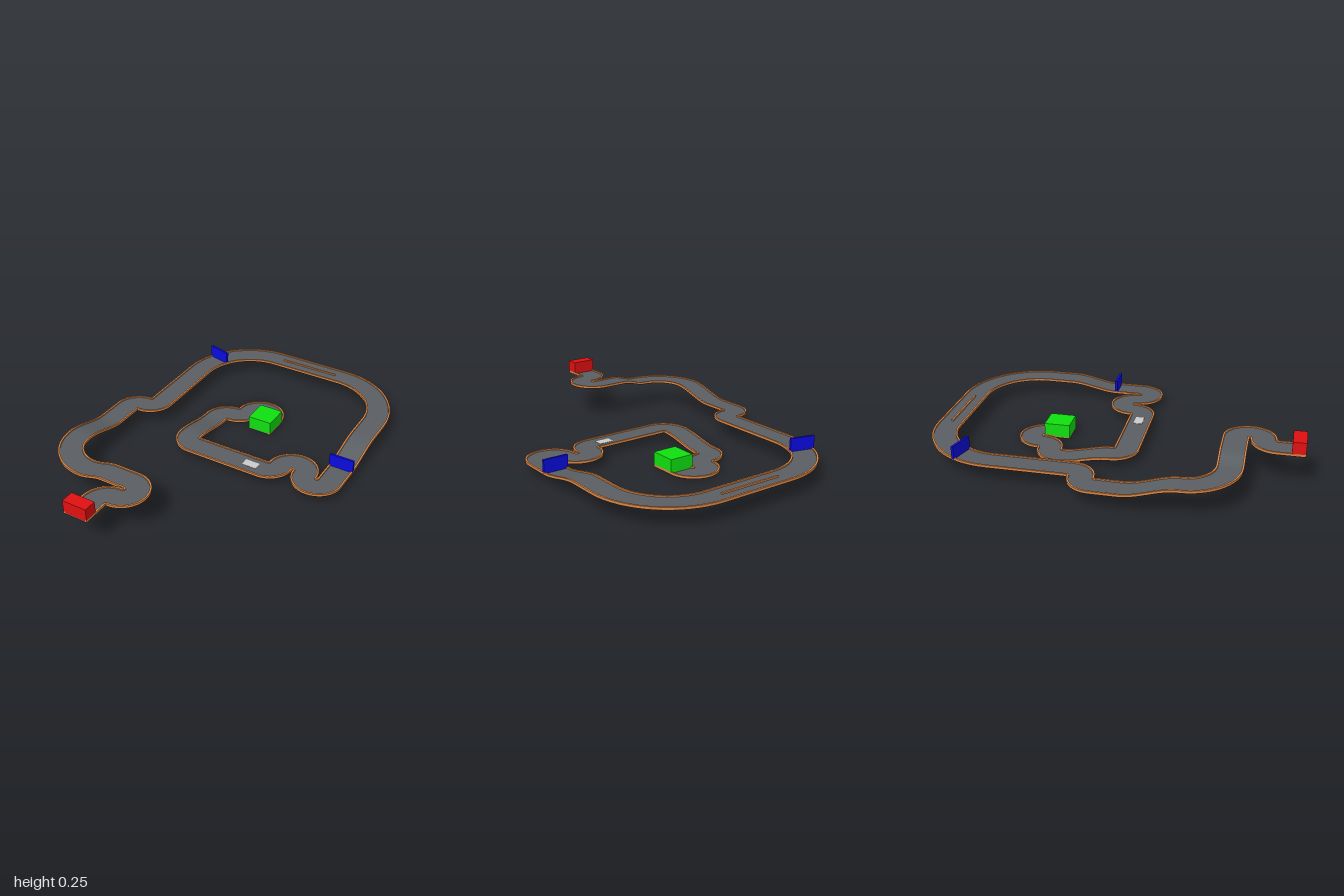
import * as THREE from 'three';

const U = 1 / 7;          // layout unit of the track
const HALF = 0.0685;      // half width of the track
const RAIL = 0.01;

// Track layout: S = straight [length, height at its end], R / L = turn [radius, degrees]
const LAYOUT = [
  ['S', 1], ['R', 0.5, 90], ['L', 0.5, 180], ['S', 1], ['S', 1, 0.146],
  ['R', 1.5, 90], ['S', 2, 0.088], ['S', 1], ['R', 0.5, 90], ['L', 0.5, 90],
  ['S', 3], ['R', 2.5, 90], ['S', 3], ['R', 2.5, 90], ['S', 1], ['S', 2, 0.044], ['S', 1],
  ['R', 0.5, 180], ['L', 0.5, 180], ['R', 0.5, 90], ['S', 3], ['R', 0.5, 90],
  ['S', 2, 0], ['R', 0.5, 90], ['L', 0.5, 90], ['R', 0.5, 180], ['S', 1],
];

// Walk the layout into stations: position, height and right-hand direction
function walkTrack() {
  let x = -1.5, z = 7, dx = 0, dz = -1, h = 0.174;
  const stations = [{ x: x * U, z: z * U, y: h, rx: 1, rz: 0 }];
  const add = (px, pz, y, ex, ez) => stations.push({ x: px * U, z: pz * U, y, rx: -ez, rz: ex });
  for (const [kind, size, extra] of LAYOUT) {
    if (kind === 'S') {
      const end = extra ?? h;
      const n = end === h ? 1 : 14;
      for (let i = 1; i <= n; i++) {
        const t = i / n;
        add(x + dx * size * t, z + dz * size * t, h + (end - h) * t * t * (3 - 2 * t), dx, dz);
      }
      x += dx * size; z += dz * size; h = end;
    } else {
      const side = kind === 'R' ? 1 : -1;
      const n = Math.round(extra / 6);
      const sx = -dz * side, sz = dx * side;      // towards the centre of the turn
      const cx = x + sx * size, cz = z + sz * size;
      let ex, ez;
      for (let i = 1; i <= n; i++) {
        const a = THREE.MathUtils.degToRad(extra * i / n);
        ex = dx * Math.cos(a) + sx * Math.sin(a);
        ez = dz * Math.cos(a) + sz * Math.sin(a);
        add(cx + ez * side * size, cz - ex * side * size, h, ex, ez);
      }
      x = cx + ez * side * size; z = cz - ex * side * size; dx = ex; dz = ez;
    }
  }
  return stations;
}

// Sweep a rectangle (across u0..u1, up y0..y1) along the stations
function sweep(stations, u0, u1, y0, y1) {
  const corners = [[u0, y1], [u1, y1], [u1, y0], [u0, y0]];
  const pos = [], idx = [];
  const put = (s, [u, y]) => pos.push(s.x + s.rx * u, s.y + y, s.z + s.rz * u);
  for (let k = 0; k < 4; k++) {
    const base = pos.length / 3;
    stations.forEach((s, i) => {
      put(s, corners[k]);
      put(s, corners[(k + 1) % 4]);
      if (i === 0) return;
      const a = base + (i - 1) * 2;
      idx.push(a, a + 1, a + 2, a + 1, a + 3, a + 2);
    });
  }
  // End caps
  [[stations[0], true], [stations[stations.length - 1], false]].forEach(([s, first]) => {
    const b = pos.length / 3;
    corners.forEach((c) => put(s, c));
    idx.push(...(first ? [b, b + 2, b + 1, b, b + 3, b + 2] : [b, b + 1, b + 2, b, b + 2, b + 3]));
  });
  const g = new THREE.BufferGeometry();
  g.setAttribute('position', new THREE.Float32BufferAttribute(pos, 3));
  g.setIndex(idx);
  g.computeVertexNormals();
  return g;
}

export function createModel() {
  const group = new THREE.Group();
  const mat = (color) => new THREE.MeshStandardMaterial({ color });
  const brown = mat(0x6b4226), grey = mat(0x5a5f63), orange = mat(0xd98544);
  const red = mat(0xe01010), green = mat(0x10e010), blue = mat(0x0a0ae0), white = mat(0xffffff);

  const add = (name, geometry, material) => {
    const mesh = new THREE.Mesh(geometry, material);
    mesh.name = name;
    group.add(mesh);
    return mesh;
  };
  // Box standing on height y
  const box = (name, material, w, h, d, x, y, z) => {
    const mesh = add(name, new THREE.BoxGeometry(w, h, d), material);
    mesh.position.set(x, y + h / 2, z);
    return mesh;
  };

  // Track: base, road surface and two side rails
  const track = walkTrack();
  const inner = HALF - RAIL;
  add('trackBase', sweep(track, -HALF, HALF, 0, 0.003), brown);
  add('roadSurface', sweep(track, -inner, inner, 0.003, 0.007), grey);
  add('leftRail', sweep(track, -HALF, -inner, 0.003, 0.014), orange);
  add('rightRail', sweep(track, inner, HALF, 0.003, 0.014), orange);

  // Divider along the far straight
  box('laneDivider', orange, 0.35, 0.009, 0.01, 0.07, 0.094, -6.5 * U);

  // Start and finish blocks
  box('startBlock', red, 2 * HALF, 0.071, 0.07, -1.5 * U, 0.181, 0.965);
  box('finishBlock', green, 2 * HALF, 0.074, U, 0.5 * U, 0.007, -2.5 * U);

  // Checkpoint gates
  box('lowerGate', blue, 2 * HALF, 0.072, 0.014, 4.5 * U, 0.051, -0.147);
  box('upperGate', blue, 2 * HALF, 0.071, 0.014, -0.463, 0.095, -0.737)
    .rotation.y = THREE.MathUtils.degToRad(-15);

  // Pale patch set through the road
  box('roadInsert', white, 0.082, 0.009, 0.048, 0.212, 0.0435, 0.066);

  return group;
}
